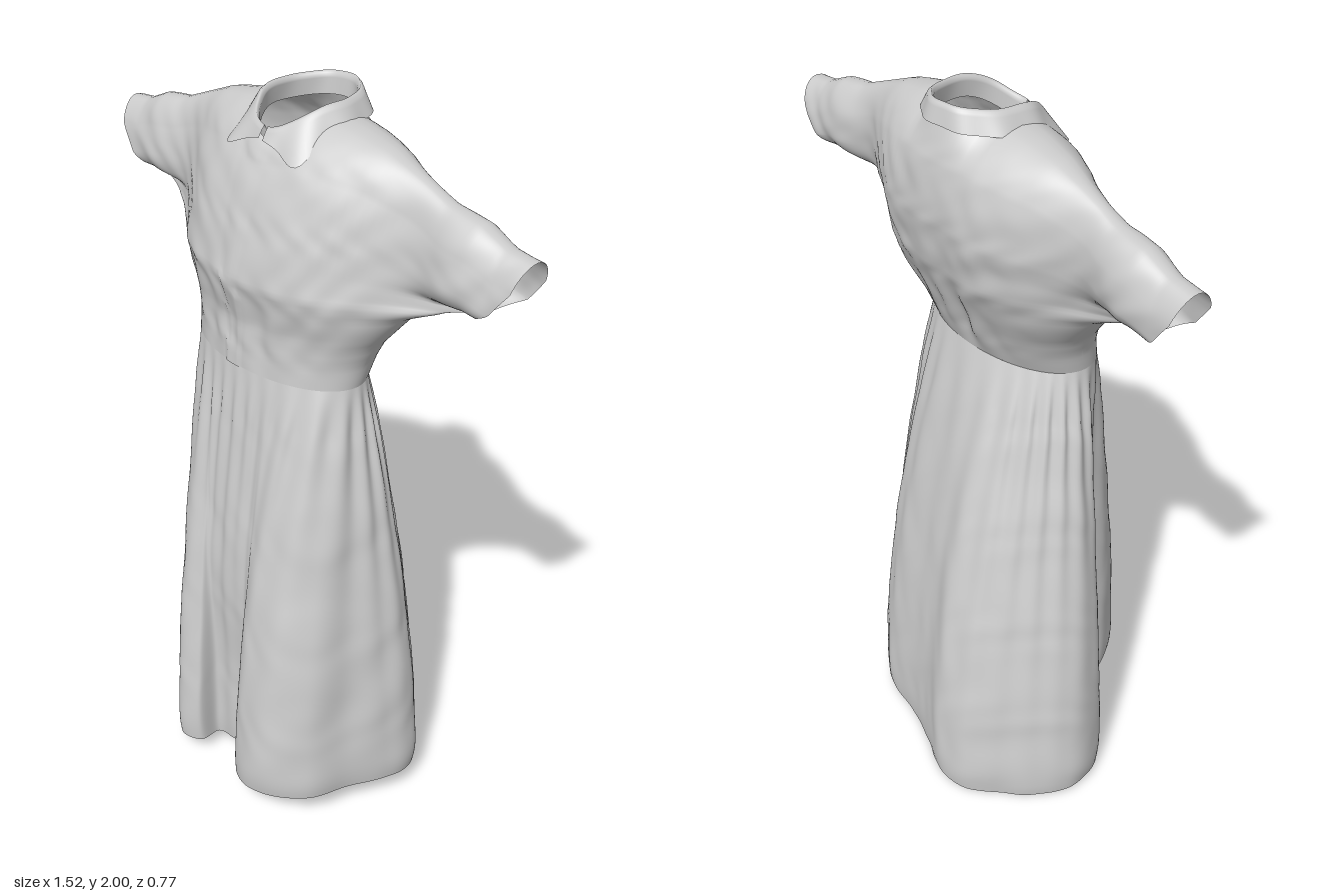
import * as THREE from 'three';
import { mergeVertices } from 'three/addons/utils/BufferGeometryUtils.js';

const cloth = new THREE.MeshStandardMaterial({ color: 0xcccccc, side: THREE.DoubleSide });

// Piecewise lookup in a short list of [position, value] pairs.
function lookup(list, t) {
  for (let i = 1; i < list.length; i++) {
    const [a, va] = list[i - 1], [b, vb] = list[i];
    if (t <= b) return va + (vb - va) * Math.max(0, (t - a) / (b - a));
  }
  return list[list.length - 1][1];
}

// Open grid of points fn(u, v), u and v from 0 to 1.
function addGrid(pos, index, fn, nu, nv, flip = false) {
  const base = pos.length / 3;
  for (let j = 0; j <= nv; j++)
    for (let i = 0; i <= nu; i++) pos.push(...fn(i / nu, j / nv));
  for (let j = 0; j < nv; j++)
    for (let i = 0; i < nu; i++) {
      const a = base + j * (nu + 1) + i, b = a + 1, c = a + nu + 1, d = c + 1;
      if (flip) index.push(a, c, b, b, c, d);
      else index.push(a, b, c, b, d, c);
    }
}

function makeMesh(name, pos, index) {
  let g = new THREE.BufferGeometry();
  g.setAttribute('position', new THREE.Float32BufferAttribute(pos, 3));
  g.setIndex(index);
  g = mergeVertices(g, 1e-4);
  g.computeVertexNormals();
  const mesh = new THREE.Mesh(g, cloth);
  mesh.name = name;
  return mesh;
}

// Small irregular creases in the cloth.
const crumple = (x, y, z) =>
  Math.sin(23 * x + 9 * y + 4 * Math.sin(11 * y + 5 * z)) * 0.4 +
  Math.sin(31 * y - 17 * x + 13 * z + 3 * Math.sin(19 * x)) * 0.3 +
  Math.sin(61 * x + 41 * z + 33 * y + 2 * Math.sin(37 * y)) * 0.3;

const WAIST = { y: 1.3, rx: 0.292, rz: 0.155, z: 0.045 };

// Bodice: outline of the underarm and sleeve opening, and depth by height.
const edgeX = [[0, 0.292], [0.08, 0.302], [0.15, 0.328], [0.3, 0.42], [0.4, 0.53], [0.5, 0.63], [0.7, 0.69], [0.85, 0.74], [1, 0.76]];
const edgeY = [[0, 1.3], [0.08, 1.35], [0.15, 1.4], [0.3, 1.5], [0.4, 1.56], [0.5, 1.595], [0.7, 1.64], [0.85, 1.71], [1, 1.78]];
const shoulderY = [[0, 1.95], [0.12, 1.95], [0.2, 1.94], [0.3, 1.92], [0.4, 1.88], [0.5, 1.84], [0.6, 1.825], [0.68, 1.79], [0.76, 1.78]];
const depth = [[0, 0.155], [0.2, 0.172], [0.38, 0.207], [0.6, 0.208], [1, 0.2]];
const centreZ = [[0, 0.045], [0.2, 0.02], [0.38, 0.008], [0.6, -0.022], [0.85, -0.045], [1, -0.045]];

function bodicePoint(s, t, side) {
  const u = Math.sin((s - 0.5) * Math.PI), au = Math.abs(u);
  const v = 0.35 * t + 0.65 * Math.sin(t * Math.PI / 2);
  const x = u * lookup(edgeX, v), ax = Math.abs(x);
  let y = (1 - v) * 1.3 + v * lookup(shoulderY, ax);
  y += au * au * (lookup(edgeY, v) - ((1 - v) * 1.3 + v * 1.78));

  // Squared half depth: torso + sleeve with a fuller cuff + neck opening.
  const w = Math.max(0, (v - 0.5) / 0.5);
  const cuff = 0.067 + 0.028 * Math.exp(-(((ax - 0.55) / 0.09) ** 2));
  const sleeve = cuff ** 2 * Math.max(0, 1 - (2 * w - 1) ** 2);
  const neckShape = Math.max(0, 1 - (x / 0.115) ** 2);
  const chest = Math.exp(-((ax / 0.31) ** 3.2)) * (1 - au ** 6);
  const across = THREE.MathUtils.lerp(1 - au * au, chest, Math.min(1, v / 0.4));
  const torso = lookup(depth, v) ** 2 * (1 - v ** 5) * across;
  let d = Math.sqrt(Math.max(0, torso + au ** 1.5 * sleeve + v ** 8 * 0.13 ** 2 * neckShape));

  // Gathers above the waist, pulls towards the sleeves, front placket step.
  const rise = Math.min(1, v * 10);
  const gather = Math.sin(48 * x + 6 * side + 2 * Math.sin(9 * x)) * Math.exp(-(((v - 0.14) / 0.16) ** 2));
  const pull = Math.sin(60 * (y - 0.75 * ax) + 3 * Math.sin(13 * x)) * au * Math.min(1, v * 2);
  const backFold = side < 0 ? Math.sin(38 * x + 4 * y) * 0.03 * (1 - v) : 0;
  d *= 1 + rise * (0.03 * gather + 0.018 * crumple(x, y, side) + backFold) + 0.025 * pull;
  if (side > 0) {
    if (x > -0.04 && x < 0.012) d += 0.005;
    y -= 0.06 * v ** 8 * neckShape;
  }
  const zc = lookup(centreZ, v);
  return [x, y, zc + (-0.055 - zc) * au * v + side * d];
}

function bodice() {
  const pos = [], index = [];
  for (const side of [1, -1])
    addGrid(pos, index, (s, t) => bodicePoint(s, t, side), 120, 64, side < 0);
  return makeMesh('bodiceWithSleeves', pos, index);
}

// Skirt: waist ellipse lofted to a folded hem outline of [x, z] points.
const hem = new THREE.CatmullRomCurve3([
  [0.03, 0.27], [0.1, 0.26], [0.13, 0.34], [0.2, 0.38], [0.3, 0.37], [0.39, 0.29], [0.43, 0.17], [0.47, 0.06], [0.475, -0.04],
  [0.42, -0.11], [0.34, -0.18], [0.26, -0.25], [0.17, -0.3], [0, -0.32], [-0.1, -0.35], [-0.2, -0.385], [-0.3, -0.37],
  [-0.38, -0.3], [-0.46, -0.22], [-0.505, -0.12], [-0.47, 0], [-0.35, 0.08], [-0.21, 0.15], [-0.19, 0.26],
  [-0.1, 0.37], [-0.03, 0.35], [-0.03, 0.28],
].map(([x, z]) => new THREE.Vector3(x, 0, z)), true);

function skirt() {
  const pos = [], index = [];
  addGrid(pos, index, (s, t) => {
    const a = (s % 1) * Math.PI * 2, down = 1 - t;
    const h = hem.getPoint(s % 1);
    const wx = WAIST.rx * Math.sin(a), wz = WAIST.z + WAIST.rz * Math.cos(a);
    const hemY = Math.max(0, 0.03 + 0.08 * h.z + 0.06 * h.x + 0.1 * h.x * h.x);
    const y = WAIST.y + (hemY - WAIST.y) * down;
    // The centre front fold only opens towards the hem.
    const closed = 1 - THREE.MathUtils.smoothstep(down, 0.4, 0.85);
    const hz = h.z > 0.2 && Math.abs(h.x - 0.04) < 0.1 ? h.z + Math.max(0, 0.32 - h.z) * closed : h.z;
    let x = wx + (h.x - wx) * (1 - t ** 1.45);
    let z = wz + (hz - wz) * (1 - t ** (1.6 - 0.1 * Math.cos(a)));
    // Gathers run down from the waist and fade out; the hem turns in slightly.
    const fade = Math.min(1, down * 10);
    const gather = Math.sin(26 * a + 3 * Math.sin(3 * a) + 3 * down) * Math.exp(-down * 3.2);
    const fold = Math.sin(11 * a + 2 * Math.sin(2 * a) + down) * down * t;
    const tuck = 0.015 * Math.max(0, (down - 0.94) / 0.06) ** 2;
    const r = 1 + fade * (0.03 * gather + 0.035 * fold + 0.007 * crumple(x, 0.6 * y, z)) - tuck;
    x *= r;
    z *= r;
    return [x, y, z];
  }, 260, 70);
  return makeMesh('skirt', pos, index);
}

// Collar: a stand rising to a fold, and a fall with two pointed front corners.
function collar() {
  const pos = [], index = [];
  addGrid(pos, index, (s, t) => {
    const a = 0.06 + s * (Math.PI * 2 - 0.12);
    const near = Math.min(a, Math.PI * 2 - a);
    const point = Math.exp(-(((near - 0.7) / 0.25) ** 2));
    const front = Math.exp(-((near / 0.35) ** 2));
    const topY = 1.998 - 0.075 * Math.max(0, Math.cos(a)) ** 2.2 - 0.012 * Math.sin(a) ** 2;
    const fallY = topY - 0.055 - 0.04 * point + 0.025 * front;
    const rows = [
      [0, [0.115, 0.125, topY - 0.06]],
      [0.4, [0.108, 0.13, topY - 0.012]],
      [0.5, [0.115, 0.137, topY]],
      [0.6, [0.128, 0.145, topY - 0.01]],
      [1, [0.158 + 0.045 * point, 0.157 + 0.048 * point, fallY]],
    ];
    const at = k => lookup(rows.map(([p, r]) => [p, r[k]]), t);
    const ripple = 1 + 0.02 * Math.sin(9 * a) * t;
    return [at(0) * Math.sin(a) * ripple, at(2), -0.045 + at(1) * Math.cos(a) * ripple];
  }, 96, 20, true);
  return makeMesh('collar', pos, index);
}

export function createModel() {
  const group = new THREE.Group();
  group.name = 'shirtDress';
  group.add(bodice(), skirt(), collar());
  return group;
}
